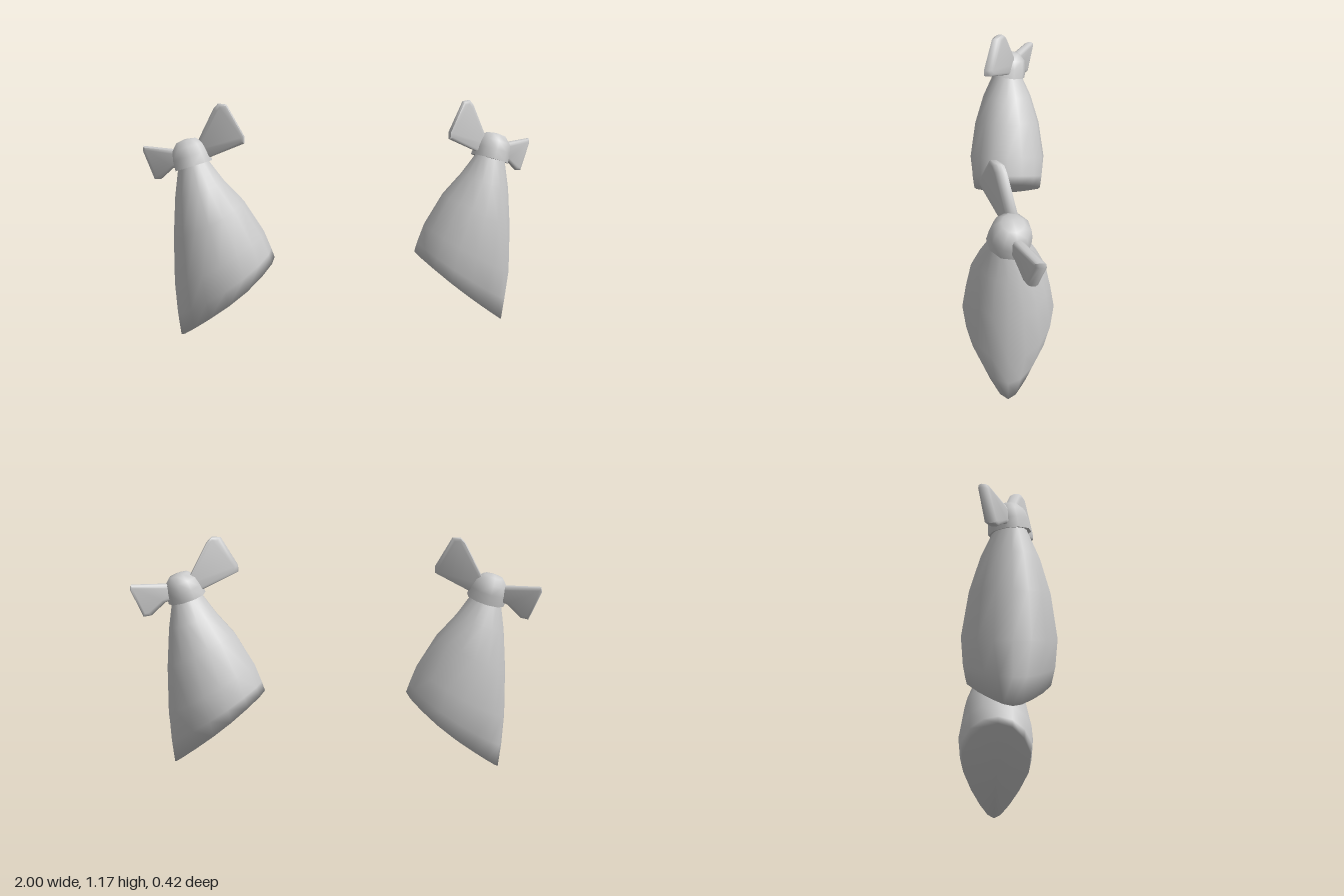
import * as THREE from 'three';
import { toCreasedNormals } from 'three/addons/utils/BufferGeometryUtils.js';

const material = new THREE.MeshStandardMaterial({ color: 0xcccccc });

function part(name, geometry) {
  const mesh = new THREE.Mesh(geometry, material);
  mesh.name = name;
  return mesh;
}

// Bunch: slanted oval sections [innerX, innerY, outerX, outerY, halfDepth, outerPinch]
function bunchGeometry() {
  const sections = [
    [0.68, 0.9, 0.825, 0.86, 0.075, 0],
    [0.605, 0.795, 0.845, 0.72, 0.132, 0],
    [0.51, 0.69, 0.86, 0.52, 0.18, 0],
    [0.413, 0.53, 0.865, 0.28, 0.213, 0.04],
    [0.378, 0.44, 0.856, 0.12, 0.213, 0.25],
    [0.362, 0.393, 0.843, 0.003, 0.204, 0.45],
  ];
  const n = 16, pos = [], index = [];
  for (const [ix, iy, ox, oy, w, pinch] of sections) {
    for (let i = 0; i < n; i++) {
      const a = (i / n) * Math.PI * 2, c = Math.cos(a);
      const t = (1 + c) / 2;
      pos.push(ix + (ox - ix) * t, iy + (oy - iy) * t,
        w * Math.sin(a) * (1 - pinch * Math.max(0, c + 0.25)) - 0.003);
    }
  }
  for (let r = 0; r < sections.length - 1; r++) {
    for (let i = 0; i < n; i++) {
      const a = r * n + i, b = r * n + (i + 1) % n;
      index.push(a, b, a + n, b, b + n, a + n);
    }
  }
  // Slanted underside, shaded smoothly into the sides
  const last = (sections.length - 1) * n, centre = pos.length / 3;
  pos.push(0.602, 0.2, 0);
  for (let i = 0; i < n; i++) index.push(last + i, last + (i + 1) % n, centre);

  const g = new THREE.BufferGeometry();
  g.setAttribute('position', new THREE.Float32BufferAttribute(pos, 3));
  g.setIndex(index);
  g.computeVertexNormals();
  return g;
}

// Knot: a small flat-topped dome with a closed base
function knotGeometry() {
  const profile = [
    [0, 0.01], [0.07, 0.005], [0.097, 0], [0.093, 0.05],
    [0.082, 0.095], [0.05, 0.128], [0, 0.136],
  ].map(([x, y]) => new THREE.Vector2(x, y));
  return toCreasedNormals(new THREE.LatheGeometry(profile, 10), 0.9);
}

// Bow loop: a flared plate, sheared so it slants in depth
function loopGeometry(outline, x0, z0, slope) {
  const bevel = 0.016, depth = 0.02;
  const shape = new THREE.Shape(outline.map(([x, y]) => new THREE.Vector2(x, y)));
  const g = new THREE.ExtrudeGeometry(shape, {
    depth, bevelThickness: bevel, bevelSize: bevel, bevelOffset: -bevel, bevelSegments: 2,
  });
  const p = g.attributes.position;
  for (let i = 0; i < p.count; i++) {
    p.setZ(i, p.getZ(i) - depth / 2 + z0 + (p.getX(i) - x0) * slope);
  }
  return toCreasedNormals(g, 1);
}

function createBunch(name) {
  const group = new THREE.Group();
  group.name = name;
  group.add(part('bunch', bunchGeometry()));

  const knot = part('knot', knotGeometry());
  knot.position.set(0.748, 0.871, -0.006);
  knot.rotation.set(-0.14, 0, -0.28);
  group.add(knot);

  group.add(part('upperBowLoop', loopGeometry([
    [0.745, 0.95], [0.645, 1.15], [0.622, 1.176], [0.582, 1.172],
    [0.503, 1.025], [0.503, 0.992], [0.73, 0.885],
  ], 0.505, 0.1, -0.57)));
  group.add(part('outerBowLoop', loopGeometry([
    [0.79, 0.938], [0.79, 0.88], [0.85, 0.855], [0.912, 0.796],
    [0.946, 0.792], [1.0, 0.932], [0.996, 0.954], [0.85, 0.948],
  ], 0.83, -0.036, -0.59)));
  return group;
}

export function createModel() {
  const model = new THREE.Group();
  model.name = 'tiedBunches';
  const left = createBunch('leftBunch');
  const right = createBunch('rightBunch');
  right.scale.x = -1;
  model.add(left, right);
  return model;
}
